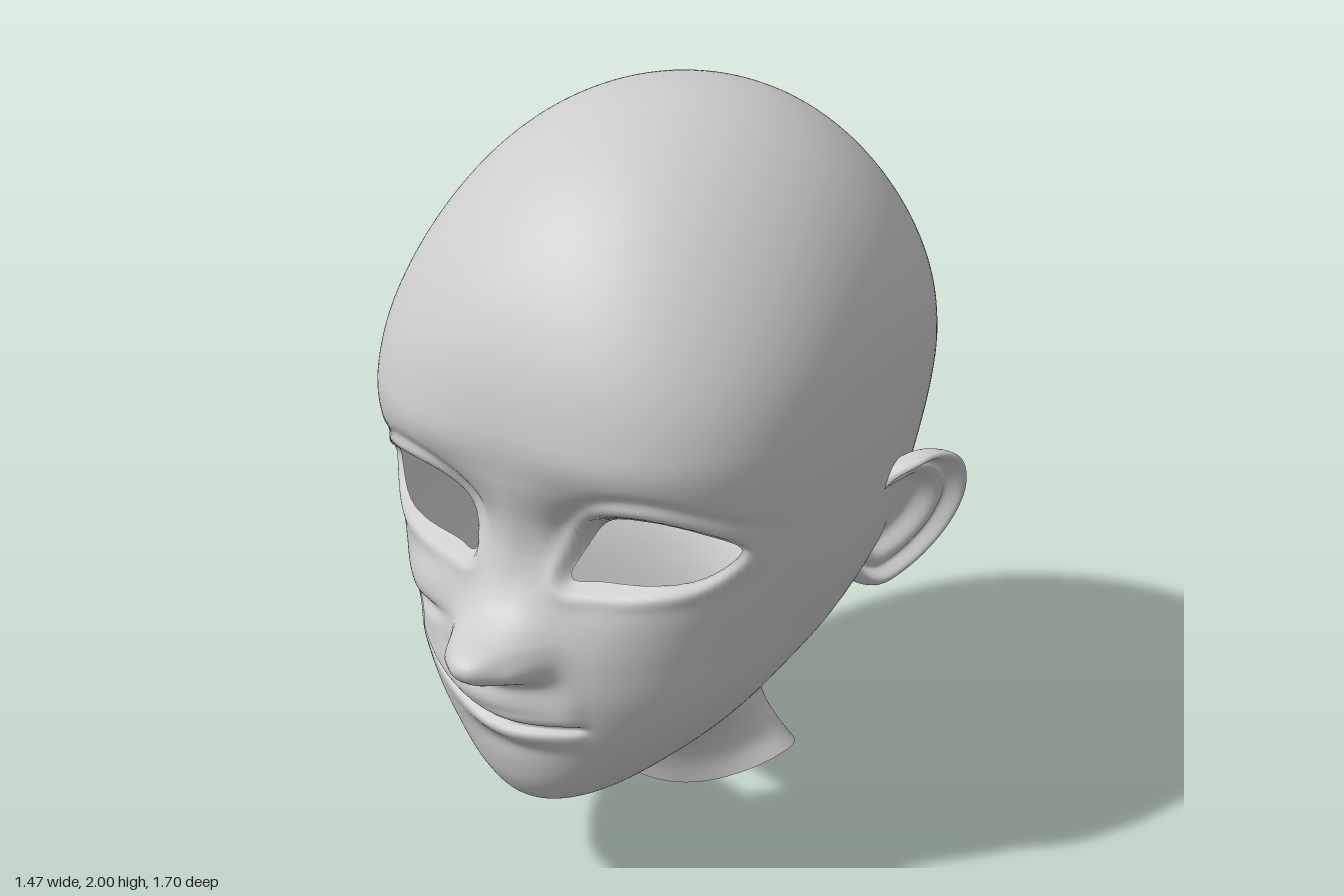
import * as THREE from 'three';
import { mergeVertices } from 'three/addons/utils/BufferGeometryUtils.js';

// Tilted head sections below the dome: [front z, front y, back z, back y, half width, side y]
const SECTIONS = [
  [0.663, 1.32, -0.85, 1.32, 0.638, 1.32], [0.655, 1.2, -0.84, 1.2, 0.635, 1.2],
  [0.637, 1.08, -0.805, 1.07, 0.623, 1.08], [0.64, 0.97, -0.752, 0.96, 0.609, 0.97],
  [0.662, 0.86, -0.677, 0.855, 0.587, 0.86], [0.685, 0.76, -0.598, 0.765, 0.555, 0.765],
  [0.697, 0.66, -0.515, 0.675, 0.515, 0.67], [0.69, 0.56, -0.45, 0.59, 0.463, 0.585],
  [0.673, 0.46, -0.41, 0.51, 0.405, 0.505], [0.645, 0.36, -0.385, 0.44, 0.34, 0.435],
  [0.585, 0.29, -0.37, 0.39, 0.283, 0.39], [0.48, 0.292, -0.366, 0.35, 0.255, 0.36],
  [0.34, 0.318, -0.365, 0.31, 0.242, 0.327], [0.19, 0.295, -0.368, 0.26, 0.235, 0.28],
  [0.1, 0.2, -0.377, 0.18, 0.239, 0.22], [0.06, 0.12, -0.398, 0.1, 0.265, 0.165],
  [0.037, 0.05, -0.43, 0.005, 0.31, 0.12],
];

// Section k of 8 through the skull dome
function dome(k) {
  const s = Math.sin((k * Math.PI) / 16), c = Math.cos((k * Math.PI) / 16);
  const y = 1.32 + 0.68 * c, depth = s - 0.1 * s * Math.abs(s) * c;
  return [-0.1 + 0.765 * depth, y, -0.1 - 0.75 * depth, y, 0.638 * s, y];
}

const gauss = (d, s) => Math.exp(-((d / s) ** 2));
const spot = (x, y, cx, cy, sx, sy = sx) => gauss(x - cx, sx) * gauss(y - cy, sy);
const smooth = THREE.MathUtils.smoothstep;

// Depth of the widest point, and squareness front and back, of a section at height y
const widestZ = (y) => -0.05 + 0.23 * gauss(y - 0.52, 0.2) - 0.15 * (1 - smooth(y, 0.1, 0.45))
  - 0.05 * smooth(y, 1.3, 2);
const squareFront = (y) => 2 + 0.85 * gauss(y - 1.2, 0.42);
const squareBack = (y) => 2 + 0.25 * gauss(y - 1.35, 0.35);

// Value at x along a line of [x, value] points
function lookup(points, x) {
  const i = points.findIndex((p) => p[0] > x);
  if (i === 0) return points[0][1];
  if (i < 0) return points[points.length - 1][1];
  const [a, b] = [points[i - 1], points[i]], t = (x - a[0]) / (b[0] - a[0]);
  return a[1] + (b[1] - a[1]) * t;
}

function catmull(a, b, c, d, t) {
  return b.map((_, k) => 0.5 * (2 * b[k] + (c[k] - a[k]) * t
    + (2 * a[k] - 5 * b[k] + 4 * c[k] - d[k]) * t * t
    + (3 * b[k] - a[k] - 3 * c[k] + d[k]) * t * t * t));
}

// Outline of the eye opening on the +x side
const EYE = new THREE.CatmullRomCurve3([
  [0.143, 0.957], [0.163, 1.03], [0.2, 1.09], [0.26, 1.132], [0.35, 1.143], [0.45, 1.11],
  [0.513, 1.06], [0.455, 0.995], [0.33, 0.966], [0.22, 0.957],
].map(([x, y]) => new THREE.Vector3(x, y, 0)), true).getPoints(48);

// Signed distance to the eye opening, negative inside
function eyeDistance(px, y, z) {
  const x = Math.abs(px);
  if (z < 0.2 || x > 0.7 || y < 0.8 || y > 1.32) return 1;
  let best = 1, inside = false;
  for (let i = 0; i < EYE.length - 1; i++) {
    const a = EYE[i], b = EYE[i + 1], ex = b.x - a.x, ey = b.y - a.y;
    const t = THREE.MathUtils.clamp(((x - a.x) * ex + (y - a.y) * ey) / (ex * ex + ey * ey), 0, 1);
    best = Math.min(best, Math.hypot(x - a.x - ex * t, y - a.y - ey * t));
    if ((a.y > y) !== (b.y > y) && x < a.x + (ex * (y - a.y)) / ey) inside = !inside;
  }
  return inside ? -best : best;
}

// Smooth nose and lip profile (height, depth) and mouth line (x, y)
const curvePoints = (pts) => new THREE.SplineCurve(pts.map((p) => new THREE.Vector2(...p)))
  .getPoints(60).map((p) => [p.x, p.y]);
const NOSE = curvePoints([[0.62, 0], [0.655, 0.02], [0.69, 0.035], [0.71, 0.07], [0.733, 0.135], [0.758, 0.165],
  [0.785, 0.17], [0.808, 0.145], [0.83, 0.09], [0.87, 0.035], [0.93, 0.008], [1, 0]]);
const MOUTH = curvePoints([[-0.38, 0.725], [-0.3, 0.668], [-0.2, 0.617], [0, 0.58], [0.1, 0.574], [0.22, 0.578]]);

// Forward displacement of the face
function relief(x, y, d) {
  const ax = Math.abs(x);
  let h = -0.085 * spot(ax, y, 0.22, 1.05, 0.13, 0.11);                     // eye sockets
  h -= 0.03 * spot(ax, y, 0.42, 1.08, 0.12, 0.1);                           // outer sockets
  h += 0.006 * spot(ax, y, 0.26, 1.27, 0.2, 0.06);                          // brows
  h += 0.01 * gauss(d - 0.028, 0.024) - 0.02 * gauss(d, 0.015);             // eyelids
  h -= 0.008 * gauss(d - 0.062, 0.018) * smooth(y, 1.02, 1.12);             // lid crease
  h += lookup(NOSE, y) * Math.exp(-((ax / 0.11) ** 2.6));                   // nose
  h += 0.03 * spot(ax, y, 0.105, 0.757, 0.035, 0.032);                      // nostril wings
  h -= 0.018 * spot(ax, y, 0.06, 0.718, 0.024, 0.012);                      // nostrils
  const m = y - lookup(MOUTH, x);
  const span = smooth(x, -0.4, -0.34) * (1 - smooth(x, 0.18, 0.23));
  h += span * (0.035 * gauss(m - 0.045, 0.045) * gauss(x, 0.17)             // upper lip
    + 0.028 * gauss(m + 0.03, 0.032) * gauss(x, 0.15)                       // lower lip
    + 0.005 * gauss(m - 0.025, 0.02) - 0.024 * gauss(m, 0.011));            // mouth line
  h -= 0.006 * spot(x, y, 0, 0.49, 0.14, 0.03);                             // fold above chin
  h -= 0.025 * spot(x, y, -0.36, 0.71, 0.035, 0.03);                        // raised smile corner
  h -= 0.022 * spot(x, y - 0.15 * (x + 0.3), -0.3, 0.765, 0.09, 0.02);      // smile crease
  return h + 0.015 * spot(x, y, -0.33, 0.83, 0.1, 0.045);                   // pushed-up cheek
}

// One surface point of a section, with its eye distance
function headPoint([zf, yf, zb, yb, w, ym], u) {
  const a = u - 0.4 * Math.sin(u), s = Math.sin(a), c = Math.cos(a); // denser at the front
  const n = c > 0 ? squareFront(ym) : squareBack(ym), zc = widestZ(ym), mid = (yf + yb) / 2;
  const r = (Math.abs(s) ** n + Math.abs(c) ** n) ** (-1 / n);
  const x = w * r * s, y = mid + ((yf - yb) / 2) * c + (ym - mid) * s * s;
  const z = zc + r * c * (c > 0 ? zf - zc : zc - zb), d = eyeDistance(x, y, z);
  return [x, y, z + relief(x, y, d) * smooth(z, 0.2, 0.4) * smooth(y, 0.33, 0.38), d];
}

// The part of a triangle outside the eye opening
function cutTriangle(tri) {
  const poly = [];
  tri.forEach((p, i) => {
    const q = tri[(i + 1) % 3];
    if (p[3] >= 0) poly.push(p);
    if ((p[3] >= 0) === (q[3] >= 0)) return;
    const [o, n] = p[3] >= 0 ? [p, q] : [q, p], t = o[3] / (o[3] - n[3]);
    poly.push(o.map((v, k) => v + (n[k] - v) * t));
  });
  return poly.slice(2).flatMap((p, i) => [poly[0], poly[i + 1], p]);
}

function headGeometry() {
  const end = SECTIONS[SECTIONS.length - 1], rows = [], COLS = 220;
  const table = [...Array.from({ length: 9 }, (_, k) => dome(k - 1)), ...SECTIONS, end];
  for (let i = 1; i < table.length - 2; i++) {
    const steps = i >= 9 && i <= 18 ? 14 : 6; // finer over the face
    for (let k = 0; k < steps; k++) {
      rows.push(catmull(table[i - 1], table[i], table[i + 1], table[i + 2], k / steps));
    }
  }
  rows.push(end);
  const grid = rows.map((row) => Array.from({ length: COLS },
    (_, j) => headPoint(row, -Math.PI + (2 * Math.PI * j) / COLS)));
  const pos = [];
  for (let i = 0; i < grid.length - 1; i++) {
    for (let j = 0; j < COLS; j++) {
      const k = (j + 1) % COLS;
      const a = grid[i][j], b = grid[i + 1][j], c = grid[i + 1][k], d = grid[i][k];
      const faces = [...cutTriangle([a, b, c]), ...(i > 0 ? cutTriangle([a, c, d]) : [])];
      faces.forEach((p) => pos.push(p[0], p[1], p[2]));
    }
  }
  const g = new THREE.BufferGeometry();
  g.setAttribute('position', new THREE.Float32BufferAttribute(pos, 3));
  const merged = mergeVertices(g, 1e-5);
  merged.computeVertexNormals();
  return merged;
}

// Ear: rings of one outline, from the root behind, over the rim, into the bowl
function earGeometry(side) {
  const N = 64, pos = [], idx = [];
  const ring = new THREE.CatmullRomCurve3([
    [-0.1, 0.775], [-0.155, 0.728], [-0.26, 0.772], [-0.338, 0.865], [-0.36, 0.97],
    [-0.315, 1.075], [-0.215, 1.115], [-0.125, 1.07], [-0.09, 0.96], [-0.095, 0.86],
  ].map(([z, y]) => new THREE.Vector3(0, y, z)), true).getPoints(N).slice(0, N);
  // ring scale, outward offset
  const profile = curvePoints([[0.4, -0.14], [0.74, -0.085], [0.95, -0.045], [1, -0.01], [0.97, 0.015],
    [0.89, 0.018], [0.79, -0.014], [0.7, -0.008], [0.6, -0.016], [0.46, -0.05], [0.25, -0.055], [0, -0.055]]);
  profile.forEach(([scale, offset], i) => {
    const inner = i > 20 ? 1 - scale : 0; // the bowl sits forward and above the lobe
    ring.forEach((q) => {
      const z = -0.215 + (q.z + 0.215) * scale + 0.035 * inner;
      const y = 0.93 + (q.y - 0.93) * scale + 0.03 * inner;
      const sink = 0.035 * (1 - smooth(-z, 0.09, 0.18)); // front edge blends into the head
      pos.push(side * (0.6 + (-0.1 - z) * 0.42 + (y - 0.95) * 0.22 + offset - sink), y, z);
    });
  });
  for (let i = 0; i < profile.length - 1; i++) {
    for (let j = 0; j < N; j++) {
      const a = i * N + j, b = i * N + ((j + 1) % N), c = a + N, d = b + N;
      idx.push(...(side > 0 ? [a, b, c, b, d, c] : [a, c, b, b, c, d]));
    }
  }
  const g = new THREE.BufferGeometry();
  g.setAttribute('position', new THREE.Float32BufferAttribute(pos, 3));
  g.setIndex(idx);
  g.computeVertexNormals();
  return g;
}

export function createModel() {
  const group = new THREE.Group();
  const material = new THREE.MeshStandardMaterial({ color: 0xcccccc, side: THREE.DoubleSide });
  const parts = { headAndNeck: headGeometry(), leftEar: earGeometry(1), rightEar: earGeometry(-1) };
  for (const [name, geometry] of Object.entries(parts)) {
    const mesh = new THREE.Mesh(geometry, material);
    mesh.name = name;
    group.add(mesh);
  }
  return group;
}
